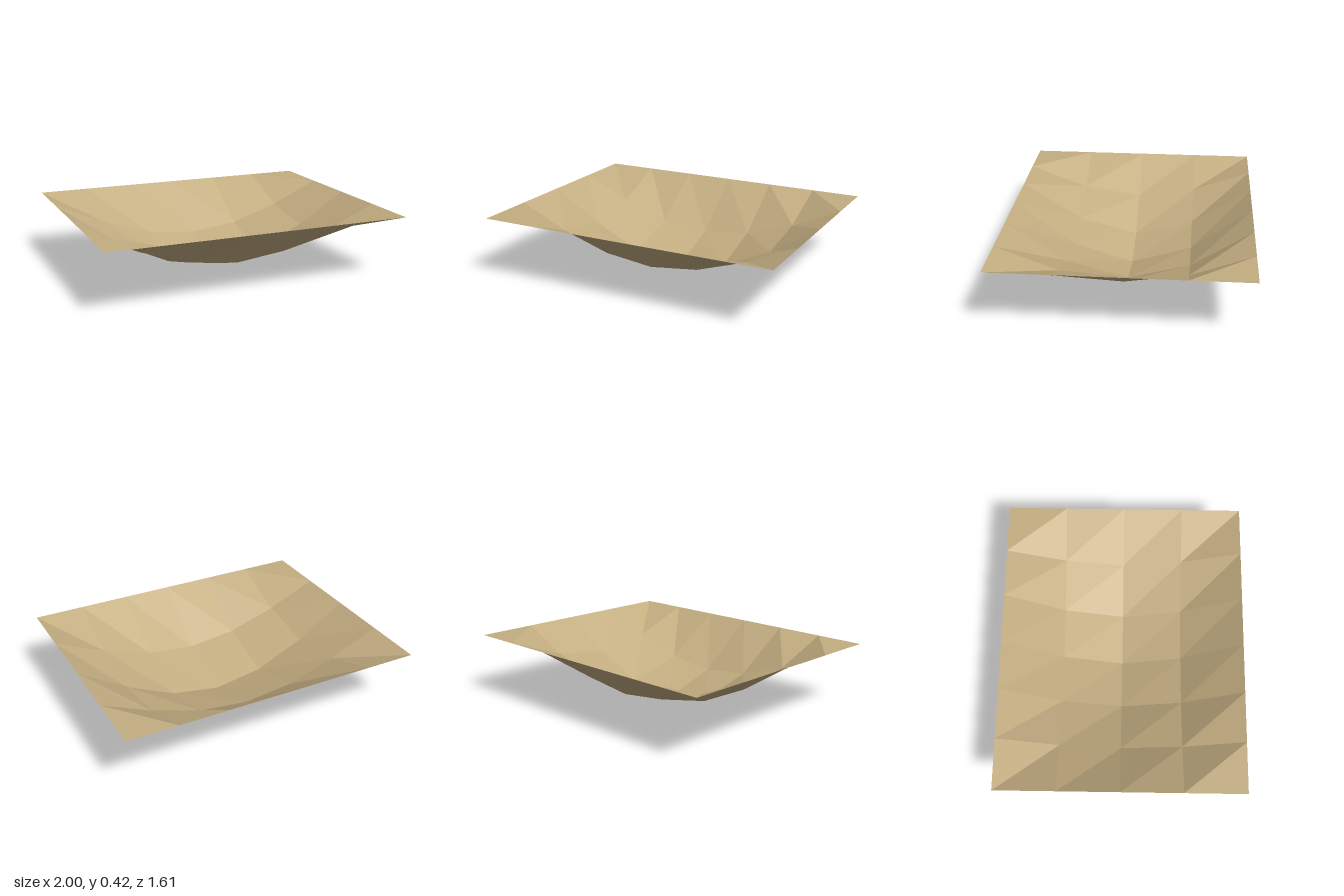
import * as THREE from 'three';

const WIDTH = 2, DEPTH = 1.61, SAG = 0.42;

export function createModel() {
  const group = new THREE.Group();
  group.name = 'saggingCloth';

  const cloth = new THREE.MeshStandardMaterial({ color: 0xc4ae82, flatShading: true, side: THREE.DoubleSide });
  cloth.name = 'tan cloth';

  // Coarse flat sheet, turned so it faces up with its diagonals running back left to front right
  const sheet = new THREE.PlaneGeometry(DEPTH, WIDTH, 4, 6);
  sheet.rotateX(-Math.PI / 2).rotateY(Math.PI / 2);

  // Level rim, with the middle sagging along a cosine in both directions
  const p = sheet.attributes.position;
  for (let i = 0; i < p.count; i++) {
    const droop = Math.cos(Math.PI * p.getX(i) / WIDTH) * Math.cos(Math.PI * p.getZ(i) / DEPTH);
    p.setY(i, SAG * (1 - droop));
  }
  sheet.computeVertexNormals();

  const mesh = new THREE.Mesh(sheet, cloth);
  mesh.name = 'clothSheet';
  group.add(mesh);
  return group;
}
